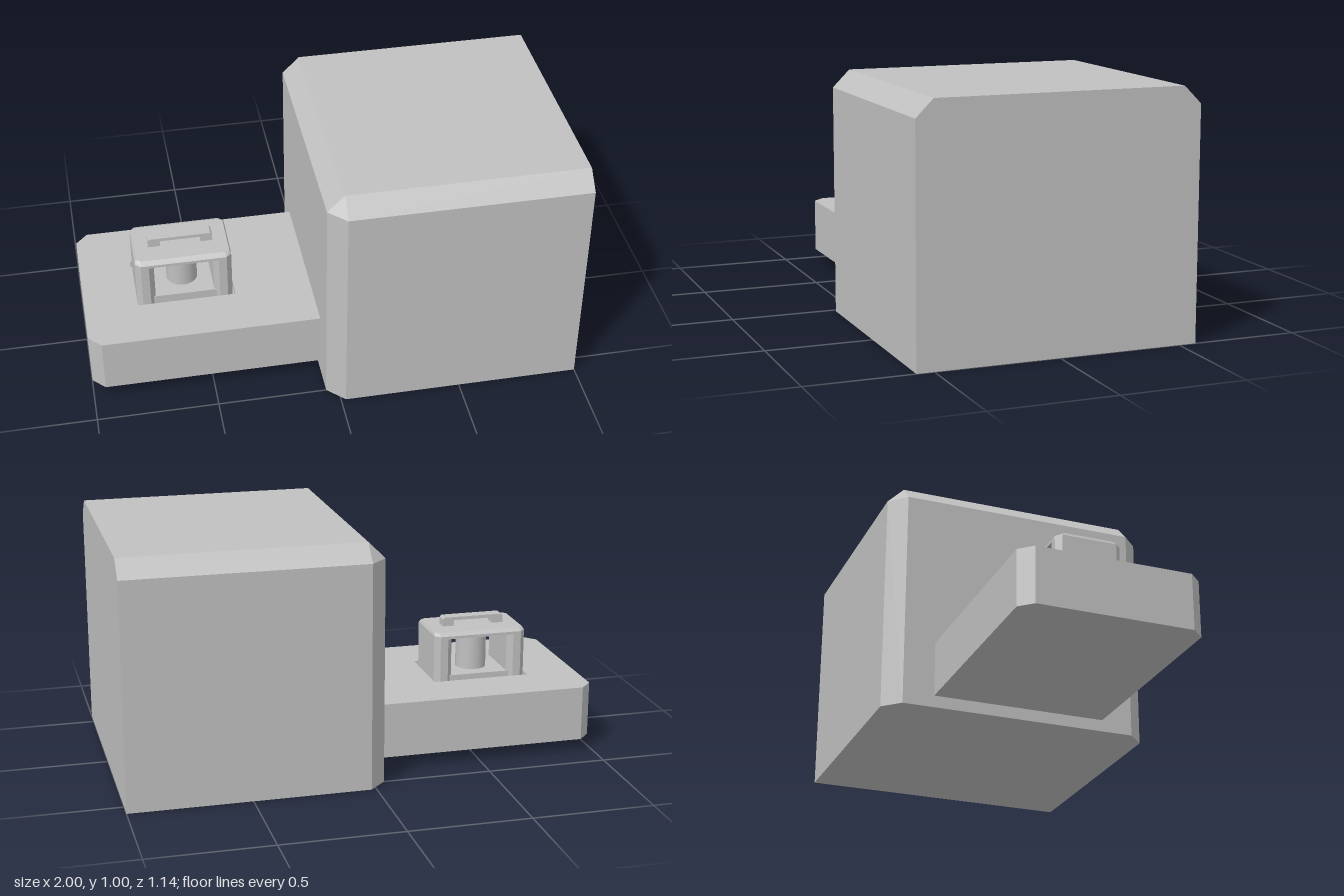
import * as THREE from 'three';
import { ConvexGeometry } from 'three/addons/geometries/ConvexGeometry.js';

const grey = new THREE.MeshStandardMaterial({ color: 0xc0c0c0 });
grey.name = 'plainGrey';

const LX = -0.577; // centre of the lantern-shaped unit

function add(parent, name, geometry, x = 0, y = 0, z = 0) {
  const mesh = new THREE.Mesh(geometry, grey);
  mesh.name = name;
  mesh.position.set(x, y, z);
  parent.add(mesh);
  return mesh;
}

// Convex solid from points on the +z side, mirrored to -z
function hull(points) {
  const all = points.flatMap(([x, y, z]) => [new THREE.Vector3(x, y, z), new THREE.Vector3(x, y, -z)]);
  return new ConvexGeometry(all);
}

// Plan outline [x, z] (symmetric in z) raised from y0 to y1
function prism(outline, y0, y1, hole) {
  const toVec = (list) => list.map(([x, z]) => new THREE.Vector2(x, z));
  const shape = new THREE.Shape(toVec(outline));
  if (hole) shape.holes.push(new THREE.Path(toVec(hole)));
  const geometry = new THREE.ExtrudeGeometry(shape, { depth: y1 - y0, bevelEnabled: false });
  geometry.rotateX(-Math.PI / 2);
  geometry.translate(0, y0, 0);
  return geometry;
}

export function createModel() {
  const model = new THREE.Group();
  model.name = 'model';

  // Large block with three chamfered sides
  add(model, 'mainBlock', hull([
    [1, 0, 0.57], [1, 0.93, 0.57], [1, 1, 0.5],
    [0.02, 0, 0.57], [0.02, 0.93, 0.57], [0.02, 1, 0.5],
    [-0.05, 0, 0.5], [-0.05, 0.93, 0.5],
  ]));

  // Low platform with a shallow pit in its top
  const plan = [
    [-1, -0.315], [-0.95, -0.368], [-0.05, -0.368],
    [-0.05, 0.368], [-0.95, 0.368], [-1, 0.315],
  ];
  const pit = [
    [LX - 0.207, -0.146], [LX - 0.207, 0.146], [LX + 0.207, 0.146], [LX + 0.207, -0.146],
  ];
  add(model, 'platformBase', prism(plan, 0.05, 0.25));
  add(model, 'platformTop', prism(plan, 0.25, 0.28, pit));

  // Small open housing standing in the pit
  const housing = new THREE.Group();
  housing.name = 'housing';
  housing.position.x = LX;
  model.add(housing);

  // Side walls with bevelled outer corners and splayed openings
  for (const s of [-1, 1]) {
    const wall = [
      [0.2, -0.112], [0.2, 0.112], [0.178, 0.135], [0.145, 0.135],
      [0.123, 0.11], [0.123, -0.11], [0.145, -0.135], [0.178, -0.135],
    ].map(([x, z]) => [x * s, z]);
    add(housing, s < 0 ? 'rightWall' : 'leftWall', prism(wall, 0.25, 0.463));
  }
  add(housing, 'floor', new THREE.BoxGeometry(0.29, 0.045, 0.24), 0, 0.2725, 0);
  add(housing, 'column', new THREE.CylinderGeometry(0.065, 0.065, 0.175, 32), 0, 0.378, 0);

  // Cap with sloping edges
  add(housing, 'cap', hull([
    ...[0.46, 0.472].flatMap((y) => [
      [0.2, y, 0.112], [0.178, y, 0.135], [-0.178, y, 0.135], [-0.2, y, 0.112],
    ]),
    [0.194, 0.484, 0.1], [0.175, 0.484, 0.113], [-0.175, 0.484, 0.113], [-0.194, 0.484, 0.1],
  ]));

  // Bridge-shaped handle
  const bridge = new THREE.Shape([
    [-0.134, 0.48], [-0.085, 0.48], [-0.085, 0.508], [0.085, 0.508], [0.085, 0.48],
    [0.134, 0.48], [0.134, 0.514], [0.126, 0.522], [-0.126, 0.522], [-0.134, 0.514],
  ].map(([x, y]) => new THREE.Vector2(x, y)));
  add(housing, 'handle', new THREE.ExtrudeGeometry(bridge, { depth: 0.05, bevelEnabled: false }), 0, 0, -0.025);

  return model;
}
